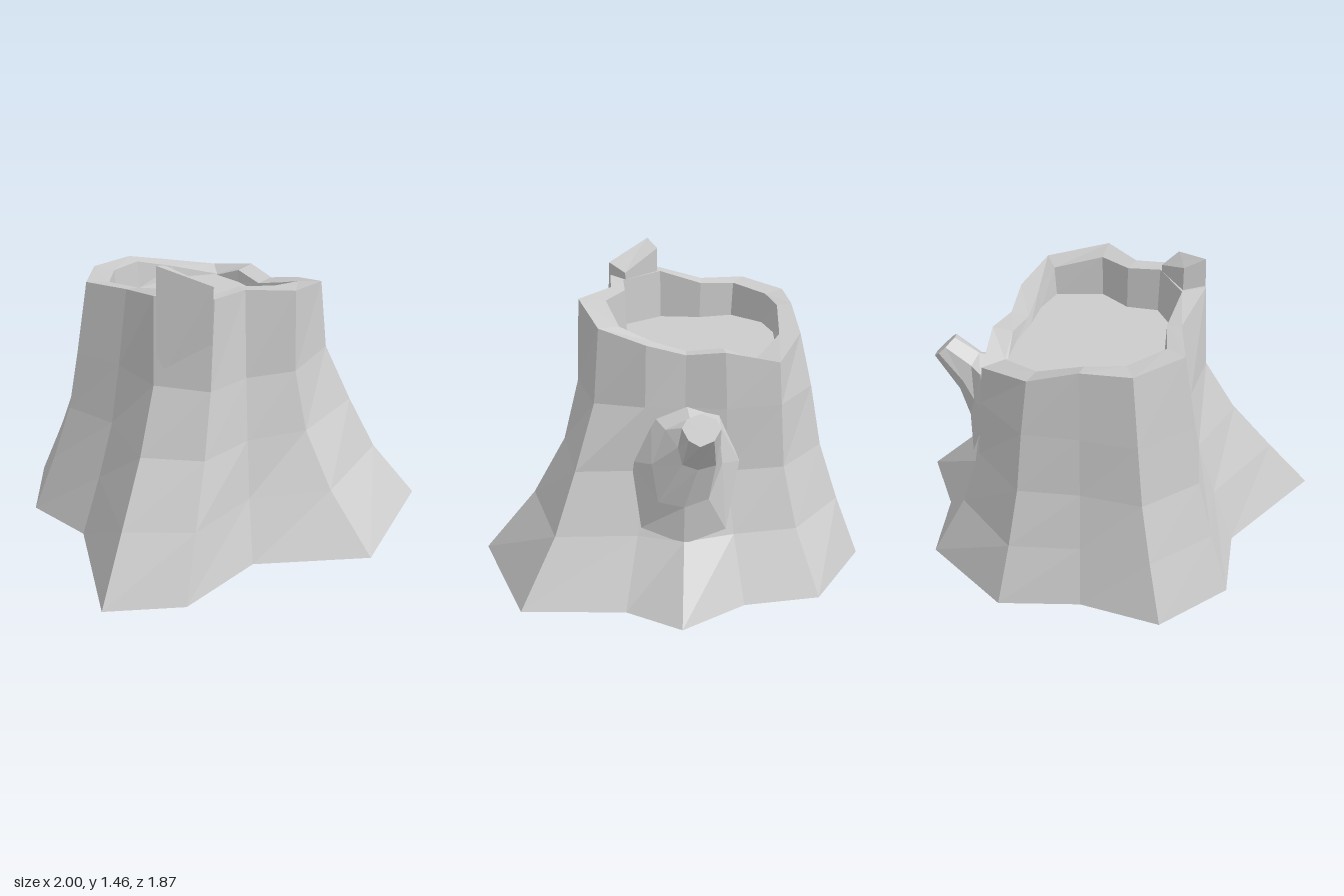
import * as THREE from 'three';

const material = new THREE.MeshStandardMaterial({ color: 0xcccccc, flatShading: true });

// Skins a series of closed rings (counter-clockwise seen from the end) and caps both ends.
function loft(name, rings) {
  const pos = [];
  const n = rings[0].length;
  const centre = (ring) => [0, 1, 2].map((k) => ring.reduce((s, p) => s + p[k], 0) / n);
  const tri = (a, b, c) => pos.push(...a, ...b, ...c);
  const last = rings[rings.length - 1];
  const start = centre(rings[0]);
  const end = centre(last);
  for (let j = 0; j < n; j++) {
    const k = (j + 1) % n;
    for (let i = 0; i < rings.length - 1; i++) {
      const [lo, hi] = [rings[i], rings[i + 1]];
      tri(lo[j], lo[k], hi[k]);
      tri(lo[j], hi[k], hi[j]);
    }
    tri(start, rings[0][k], rings[0][j]);
    tri(end, last[j], last[k]);
  }
  const geometry = new THREE.BufferGeometry();
  geometry.setAttribute('position', new THREE.Float32BufferAttribute(pos, 3));
  geometry.computeVertexNormals();
  const mesh = new THREE.Mesh(geometry, material);
  mesh.name = name;
  return mesh;
}

// Root outline on the ground [x, z]
const roots = [
  [0.25, 0.93], [0.87, 0.66], [0.86, 0.18], [1.0, -0.08], [0.78, -0.36], [0.70, -0.71], [0.25, -0.94],
  [-0.13, -0.82], [-0.53, -0.82], [-0.78, -0.50], [-0.72, -0.14], [-1.0, 0.43], [-0.68, 0.65], [-0.23, 0.60],
];
// Outer edge of the broken rim [x, y, z]
const rim = [
  [0.15, 1.28, 0.44], [0.44, 1.22, 0.32], [0.50, 1.16, 0.10], [0.48, 1.11, -0.08], [0.50, 1.13, -0.26],
  [0.45, 1.07, -0.51], [0.18, 1.13, -0.62], [-0.06, 1.21, -0.59], [-0.30, 1.22, -0.56], [-0.48, 1.24, -0.36],
  [-0.40, 1.25, -0.14], [-0.44, 1.31, 0.13], [-0.24, 1.30, 0.32], [-0.04, 1.29, 0.30],
];
// Inner edge of the rim [x, z]
const inner = [
  [0.14, 0.31], [0.37, 0.23], [0.40, 0.08], [0.39, -0.08], [0.40, -0.25], [0.38, -0.40], [0.17, -0.52],
  [-0.06, -0.52], [-0.24, -0.47], [-0.38, -0.31], [-0.33, -0.14], [-0.34, 0.07], [-0.18, 0.25], [-0.02, 0.23],
];

// How far each level still flares out from the rim towards the roots
const side = [0.46, 0.15, 0.06];
const back = [0.65, 0.36, 0.19];
const flare = [
  [0.50, 0.18, 0.03], [0.58, 0.32, 0.07], side, side, [0.48, 0.15, 0.10], side, back,
  back, back, back, back, [0.64, 0.30, 0.04], [0.68, 0.36, 0.14], [0.62, 0.40, 0.20],
];

function trunk() {
  const levels = [0.29, 0.57, 0.87].map((y, l) => rim.map(([x, , z], j) => {
    const f = flare[j][l];
    return [x + (roots[j][0] - x) * f, y, z + (roots[j][1] - z) * f];
  }));
  return loft('trunk', [
    roots.map(([x, z]) => [x, 0, z]),
    ...levels,
    rim,
    inner.map(([x, z], j) => [x, rim[j][1] - 0.01, z]),
    inner.map(([x, z]) => [x * 0.97, 1.06, z * 0.97]),
  ]);
}

// Splinter left standing on the rim, running down into the trunk
function splinter() {
  const top = [[-0.25, 1.365, 0.325], [-0.19, 1.325, 0.24], [-0.34, 1.42, 0.085], [-0.43, 1.455, 0.14]];
  const foot = [[-0.29, 0.87, 0.35], [-0.19, 0.87, 0.24], [-0.34, 0.87, 0.085], [-0.45, 0.87, 0.15]];
  return loft('splinter', [foot, top]);
}

// Broken side branch: collar on the trunk, shoulder, neck, cut tip
function branch() {
  return loft('branch', [
    [[0.48, 0.89, -0.08], [0.49, 0.83, 0.08], [0.54, 0.61, 0.17], [0.66, 0.33, 0.12],
      [0.72, 0.28, -0.08], [0.66, 0.33, -0.27], [0.54, 0.62, -0.33], [0.48, 0.86, -0.23]],
    [[0.57, 0.84, -0.10], [0.59, 0.79, 0.01], [0.64, 0.64, 0.07], [0.70, 0.48, 0.04],
      [0.71, 0.46, -0.08], [0.70, 0.50, -0.19], [0.64, 0.65, -0.25], [0.60, 0.81, -0.24]],
    [[0.65, 0.86, -0.13], [0.66, 0.83, -0.08], [0.70, 0.75, -0.05], [0.73, 0.68, -0.07],
      [0.74, 0.66, -0.14], [0.73, 0.68, -0.22], [0.70, 0.75, -0.24], [0.66, 0.83, -0.21]],
    [[0.77, 0.94, -0.15], [0.79, 0.92, -0.09], [0.82, 0.89, -0.07], [0.86, 0.85, -0.10],
      [0.88, 0.83, -0.15], [0.86, 0.85, -0.21], [0.82, 0.89, -0.24], [0.79, 0.92, -0.22]],
  ]);
}

export function createModel() {
  const group = new THREE.Group();
  group.name = 'treeStump';
  group.add(trunk(), splinter(), branch());
  return group;
}
